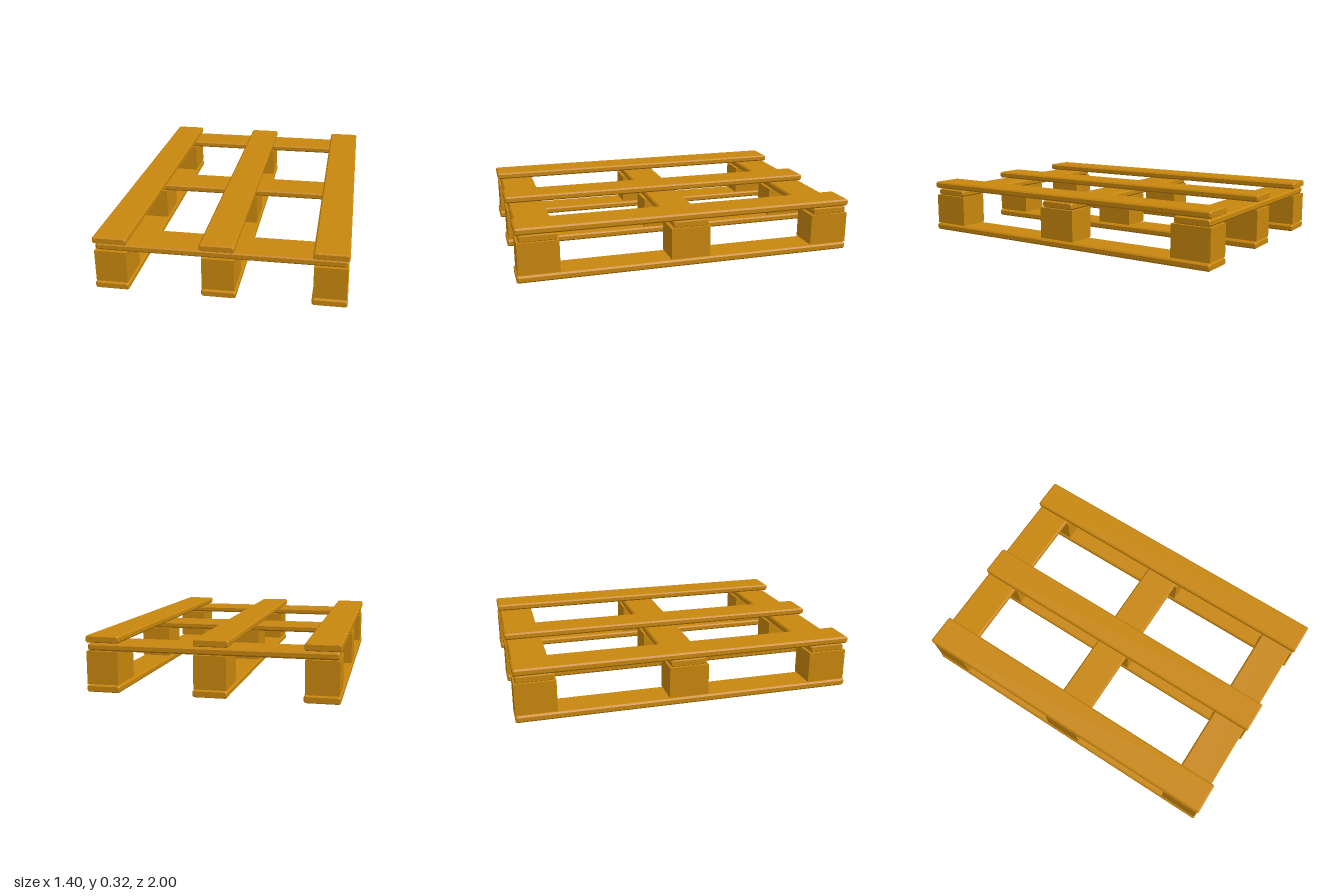
import * as THREE from 'three';

// Board with all edges chamfered, length along z, centred on the origin
function boardGeometry(width, height, length, c = 0.009) {
  const w = width / 2, h = height / 2;
  const profile = new THREE.Shape([
    [-w + c, -h], [w - c, -h], [w, -h + c], [w, h - c],
    [w - c, h], [-w + c, h], [-w, h - c], [-w, -h + c],
  ].map(([x, y]) => new THREE.Vector2(x, y)));
  const geometry = new THREE.ExtrudeGeometry(profile, {
    depth: length - 2 * c, bevelEnabled: true, bevelSegments: 1,
    bevelThickness: c, bevelSize: c * 0.6, bevelOffset: -c * 0.6,
  });
  return geometry.translate(0, 0, -length / 2 + c);
}

export function createModel() {
  const group = new THREE.Group();
  const wood = new THREE.MeshStandardMaterial({ color: 0xc8860d });
  wood.name = 'wood';

  function add(name, geometry, x, y, z) {
    const mesh = new THREE.Mesh(geometry, wood);
    mesh.name = name;
    mesh.position.set(x, y, z);
    group.add(mesh);
  }

  const runner = boardGeometry(0.193, 0.04, 2);
  const cross = boardGeometry(0.215, 0.04, 1.376).rotateY(Math.PI / 2);
  const block = new THREE.BoxGeometry(0.18, 0.185, 0.234);
  const columns = [-0.606, -0.007, 0.6];
  const rows = [-0.882, 0, 0.875];

  // Long boards on the ground and on the deck
  columns.forEach((x, i) => {
    add('bottomBoard', runner, x + (i === 1 ? 0.002 : 0), 0.021, 0);
    add('deckBoard', runner, x + (i === 1 ? -0.005 : 0), 0.297, 0);
    // Spacer blocks
    rows.forEach((z) => add('block', block, x, 0.1385, z));
  });

  // Cross boards between blocks and deck
  rows.forEach((z) => add('crossBoard', cross, -0.003, 0.252, z - 0.002));

  return group;
}
